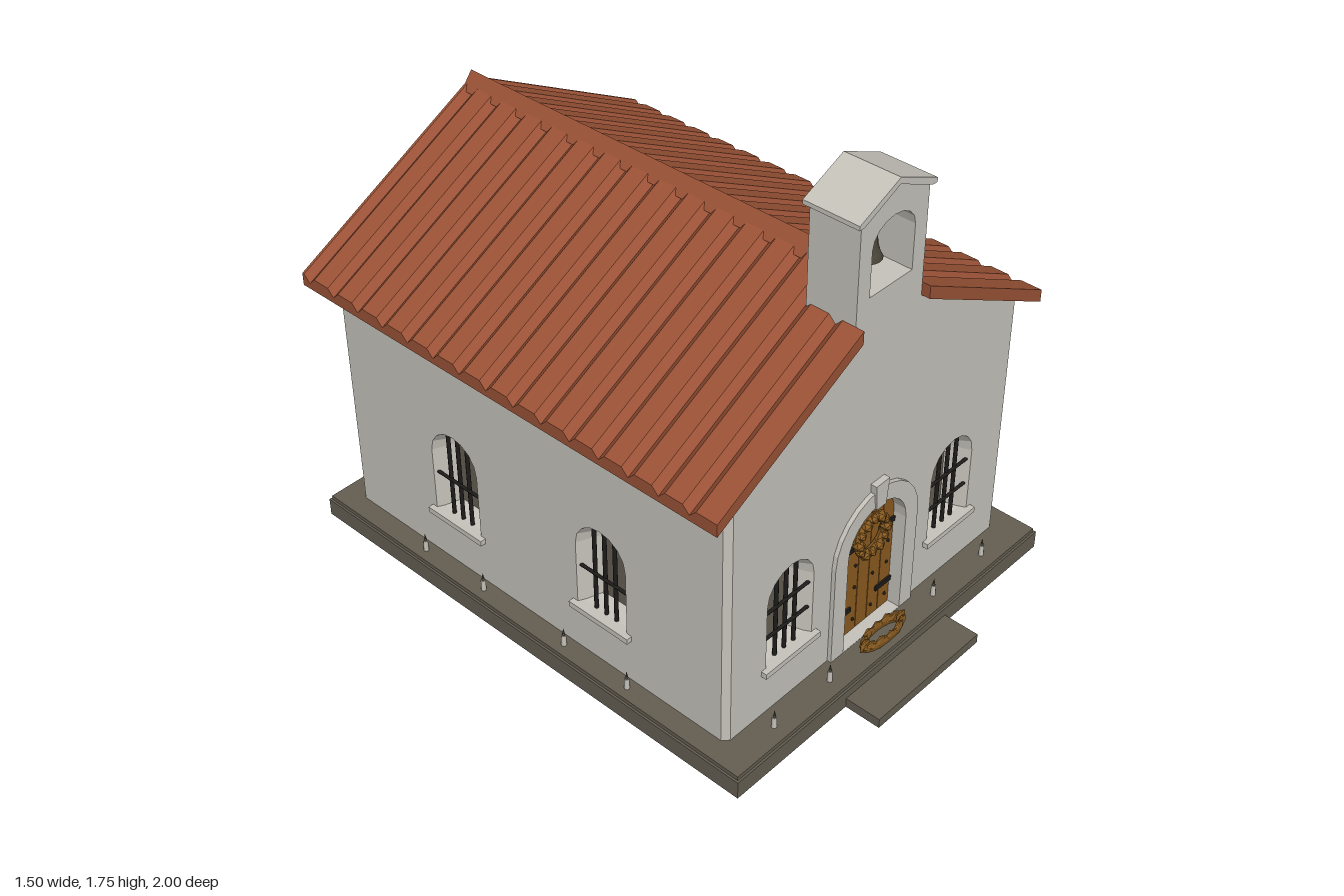
import * as THREE from 'three';

const mat = (name, color, extra = {}) => Object.assign(new THREE.MeshStandardMaterial({ color, ...extra }), { name });

export function createModel() {
  const model = new THREE.Group();
  model.name = 'chapel';
  const plaster = mat('plaster', 0xc6c3bb);
  const reveal = mat('plasterReveal', 0xc6c3bb, { side: THREE.DoubleSide });
  const stone = mat('darkStone', 0x655f52);
  const tile = mat('roofTile', 0x9a5236, { flatShading: true });
  const wood = mat('doorWood', 0x8a5a20);
  const garland = mat('garlandBrown', 0x875a20, { flatShading: true });
  const iron = mat('blackIron', 0x1d1c1b);
  const bronze = mat('bellMetal', 0x4c473c);

  const add = (parent, name, geo, m, x = 0, y = 0, z = 0) => {
    const mesh = new THREE.Mesh(geo, m);
    mesh.name = name;
    mesh.position.set(x, y, z);
    parent.add(mesh);
    return mesh;
  };
  const box = (parent, name, m, w, h, d, x, y, z) => add(parent, name, new THREE.BoxGeometry(w, h, d), m, x, y, z);
  const poly = pts => new THREE.Shape(pts.map(p => new THREE.Vector2(p[0], p[1])));
  // Extrudes a shape so that its front face lies at z = 0
  const slab = (shape, depth) =>
    new THREE.ExtrudeGeometry(shape, { depth, bevelEnabled: false }).translate(0, 0, -depth);
  // Points of an arched opening, anticlockwise from the lower left
  const arch = (cx, hw, y0, y1, rise = hw, n = 8) => {
    const pts = [[cx - hw, y0], [cx + hw, y0]];
    for (let i = 0; i <= n; i++) {
      const a = Math.PI * i / n;
      pts.push([cx + hw * Math.cos(a), y1 - rise + rise * Math.sin(a)]);
    }
    return pts;
  };

  // Plinth and step
  box(model, 'plinth', stone, 1.5, 0.065, 1.87, 0, 0.0325, -0.065);
  box(model, 'plinthTop', stone, 1.485, 0.015, 1.855, 0, 0.0725, -0.065);
  box(model, 'step', stone, 0.5, 0.035, 0.14, 0, 0.0175, 0.93);

  // Wall plate with arched holes, built facing +z
  const wall = (parent, name, outline, holes) => {
    const shape = poly(outline);
    holes.forEach(h => shape.holes.push(poly(h)));
    return add(parent, name, slab(shape, 0.08), plaster);
  };
  const windowHole = u => arch(u, 0.105, 0.26, 0.61);

  // Splayed window with dark back, iron bars and sill
  const addWindow = (parent, u, barHeights) => {
    const g = new THREE.Group();
    g.name = 'window';
    parent.add(g);
    const outer = windowHole(u), inner = arch(u, 0.065, 0.275, 0.575);
    const pos = [], n = outer.length;
    for (let i = 0; i < n; i++) {
      const j = (i + 1) % n;
      const a = [...outer[i], 0], b = [...outer[j], 0], c = [...inner[j], -0.078], d = [...inner[i], -0.078];
      pos.push(...a, ...b, ...c, ...a, ...c, ...d);
    }
    const splay = new THREE.BufferGeometry();
    splay.setAttribute('position', new THREE.Float32BufferAttribute(pos, 3));
    splay.computeVertexNormals();
    add(g, 'windowReveal', splay, reveal);
    add(g, 'windowBack', new THREE.ShapeGeometry(poly(inner)), stone, 0, 0, -0.077);
    for (const dx of [-0.043, 0, 0.043])
      add(g, 'verticalBar', new THREE.CylinderGeometry(0.007, 0.007, dx ? 0.325 : 0.345, 8), iron, u + dx, dx ? 0.425 : 0.435, -0.02);
    for (const y of barHeights)
      add(g, 'crossBar', new THREE.CylinderGeometry(0.006, 0.006, 0.2, 8).rotateZ(Math.PI / 2), iron, u, y, -0.015);
    box(g, 'windowSill', plaster, 0.25, 0.02, 0.04, u, 0.255, 0);
  };

  // Front wall
  const front = new THREE.Group();
  front.name = 'front';
  front.position.z = 0.75;
  model.add(front);
  wall(front, 'frontWall',
    [[-0.65, 0.07], [0.65, 0.07], [0.65, 1.02], [0.15, 1.29], [-0.15, 1.29], [-0.65, 1.02]],
    [windowHole(-0.39), windowHole(0.39), arch(0, 0.14, 0.08, 0.6, 0.14, 12)]);
  for (const s of [-1, 1]) addWindow(front, s * 0.39, [0.365, 0.465]);

  // Back wall
  const back = new THREE.Group();
  back.name = 'back';
  back.position.z = -0.92;
  back.rotation.y = Math.PI;
  model.add(back);
  wall(back, 'backWall', [[-0.65, 0.07], [0.65, 0.07], [0.65, 1.02], [0, 1.37], [-0.65, 1.02]], []);

  // Side walls and chamfered corners
  for (const s of [-1, 1]) {
    const side = new THREE.Group();
    side.name = s > 0 ? 'leftSide' : 'rightSide';
    side.position.x = s * 0.67;
    side.rotation.y = s * Math.PI / 2;
    model.add(side);
    const a = s > 0 ? -0.73 : -0.9, b = s > 0 ? 0.9 : 0.73;
    wall(side, 'sideWall', [[a, 0.07], [b, 0.07], [b, 1.008], [a, 1.008]], [windowHole(-s * 0.24), windowHole(s * 0.41)]);
    for (const z of [0.24, -0.41]) addWindow(side, -s * z, [0.41]);
    for (const [z, t] of [[0.73, 1], [-0.9, -1]]) {
      const corner = poly([[s * 0.62, -z], [s * 0.67, -z], [s * 0.65, -z - t * 0.02], [s * 0.62, -z - t * 0.02]]);
      add(model, 'wallCorner', new THREE.ExtrudeGeometry(corner, { depth: 0.94, bevelEnabled: false }).rotateX(-Math.PI / 2), plaster, 0, 0.07, 0);
    }
  }

  // Grooved tile roof: section across z, drawn out along x and sheared to the pitch
  const roofPart = (s, z0, z1, x0) => {
    const pts = [[-z0, -0.045], [-z0, 0]];
    for (let k = -1; k < 15; k++) {
      const v = -0.83 + 0.116 * k;
      if (v - 0.025 > z0 && v + 0.025 < z1) pts.push([-(v - 0.025), 0], [-v, -0.025], [-(v + 0.025), 0]);
    }
    pts.push([-z1, 0], [-z1, -0.045]);
    const geo = new THREE.ExtrudeGeometry(poly(pts), { depth: 0.75 - x0, bevelEnabled: false });
    geo.rotateY(Math.PI / 2).translate(s > 0 ? x0 : -0.75, 0, 0);
    const p = geo.attributes.position;
    for (let i = 0; i < p.count; i++) p.setY(i, p.getY(i) + 1.41 - 0.533 * Math.abs(p.getX(i)));
    geo.computeVertexNormals();
    add(model, 'roofTiles', geo, tile);
  };
  for (const s of [-1, 1]) {
    roofPart(s, -0.98, 0.59, 0);
    roofPart(s, 0.59, 0.78, 0.15);
  }
  add(model, 'roofRidge', slab(poly([[-0.045, 1.375], [0.045, 1.375], [0, 1.432]]), 1.55), tile, 0, 0, 0.57);

  // Bell tower with arched opening and gabled cap
  const tower = poly([[-0.15, 1.28], [0.15, 1.28], [0.15, 1.67], [0, 1.735], [-0.15, 1.67]]);
  tower.holes.push(poly(arch(0, 0.095, 1.4, 1.63, 0.075)));
  add(model, 'bellTower', slab(tower, 0.18), plaster, 0, 0, 0.75);
  add(model, 'towerCap', slab(poly([[-0.17, 1.66], [-0.15, 1.66], [0, 1.73], [0.15, 1.66], [0.17, 1.66], [0.17, 1.675], [0, 1.752], [-0.17, 1.675]]), 0.2), plaster, 0, 0, 0.76);

  // Bell on its rod
  add(model, 'bellRod', new THREE.CylinderGeometry(0.007, 0.007, 0.19, 8).rotateZ(Math.PI / 2), iron, 0, 1.578, 0.66);
  const bellProfile = [[0, 0.1], [0.02, 0.1], [0.027, 0.085], [0.03, 0.045], [0.038, 0.018], [0.047, 0], [0.04, 0], [0, 0.06]];
  add(model, 'bell', new THREE.LatheGeometry(bellProfile.map(p => new THREE.Vector2(...p)).reverse(), 16), bronze, 0, 1.452, 0.66);
  add(model, 'bellHanger', new THREE.CylinderGeometry(0.008, 0.008, 0.04, 8), iron, 0, 1.565, 0.66);
  add(model, 'bellClapper', new THREE.SphereGeometry(0.01, 8, 6), iron, 0, 1.452, 0.66);

  // Door surround and keystone
  const surround = poly(arch(0, 0.2, 0.08, 0.66, 0.2, 12));
  surround.holes.push(poly(arch(0, 0.14, 0.081, 0.6, 0.14, 12)));
  add(front, 'doorSurround', slab(surround, 0.03), plaster, 0, 0, 0.015);
  add(front, 'keystone', slab(poly([[-0.022, 0.595], [0.022, 0.595], [0.032, 0.69], [-0.032, 0.69]]), 0.04), plaster, 0, 0, 0.022);

  // Door planks cut to the arch, with straps and studs
  add(front, 'doorBacking', new THREE.ShapeGeometry(poly(arch(0, 0.14, 0.08, 0.6, 0.14, 12))), iron, 0, 0, -0.05);
  for (let i = 0; i < 5; i++) {
    const x0 = -0.138 + i * 0.0556, x1 = x0 + 0.0526;
    const pts = [[x0, 0.082], [x1, 0.082]];
    for (let k = 0; k <= 4; k++) {
      const x = x1 + (x0 - x1) * k / 4;
      pts.push([x, 0.46 + Math.sqrt(Math.max(0, 0.0193 - x * x))]);
    }
    add(front, 'doorPlank', slab(poly(pts), 0.02), wood, 0, 0, -0.03);
  }
  for (const s of [-1, 1]) for (const y of [0.185, 0.435])
    box(front, 'doorStrap', iron, 0.075, 0.018, 0.008, s * 0.1, y, -0.027);
  for (const x of [-0.115, -0.045, 0.045, 0.115]) for (const y of [0.13, 0.265, 0.355])
    add(front, 'doorStud', new THREE.SphereGeometry(0.006, 6, 4), iron, x, y, -0.029);

  // Garlands: one hung on the door, one lying on the threshold
  const addGarland = (name, parent, r, lump) => {
    const g = new THREE.Group();
    g.name = name;
    parent.add(g);
    add(g, 'garlandRing', new THREE.TorusGeometry(r, lump * 0.8, 6, 16), garland);
    for (let i = 0; i < 12; i++) {
      const a = i * Math.PI / 6;
      add(g, 'garlandLeaf', new THREE.IcosahedronGeometry(lump * (i % 2 ? 1 : 1.2), 0), garland, r * Math.cos(a), r * Math.sin(a), 0.006);
    }
    return g;
  };
  addGarland('doorGarland', front, 0.066, 0.018).position.set(0, 0.465, -0.01);
  const lying = addGarland('thresholdGarland', model, 0.09, 0.022);
  lying.rotation.x = -Math.PI / 2;
  lying.scale.set(1, 0.32, 1);
  lying.position.set(0, 0.098, 0.81);

  // Small candles along the plinth
  const candle = (x, z) => {
    add(model, 'candle', new THREE.CylinderGeometry(0.008, 0.009, 0.042, 8), plaster, x, 0.1, z);
    add(model, 'candleTip', new THREE.ConeGeometry(0.006, 0.03, 6), bronze, x, 0.135, z);
  };
  for (const s of [-1, 1]) {
    for (const x of [0.26, 0.52]) candle(s * x, 0.81);
    for (const z of [0.375, 0.1, -0.27, -0.55]) candle(s * 0.705, z);
  }
  return model;
}
